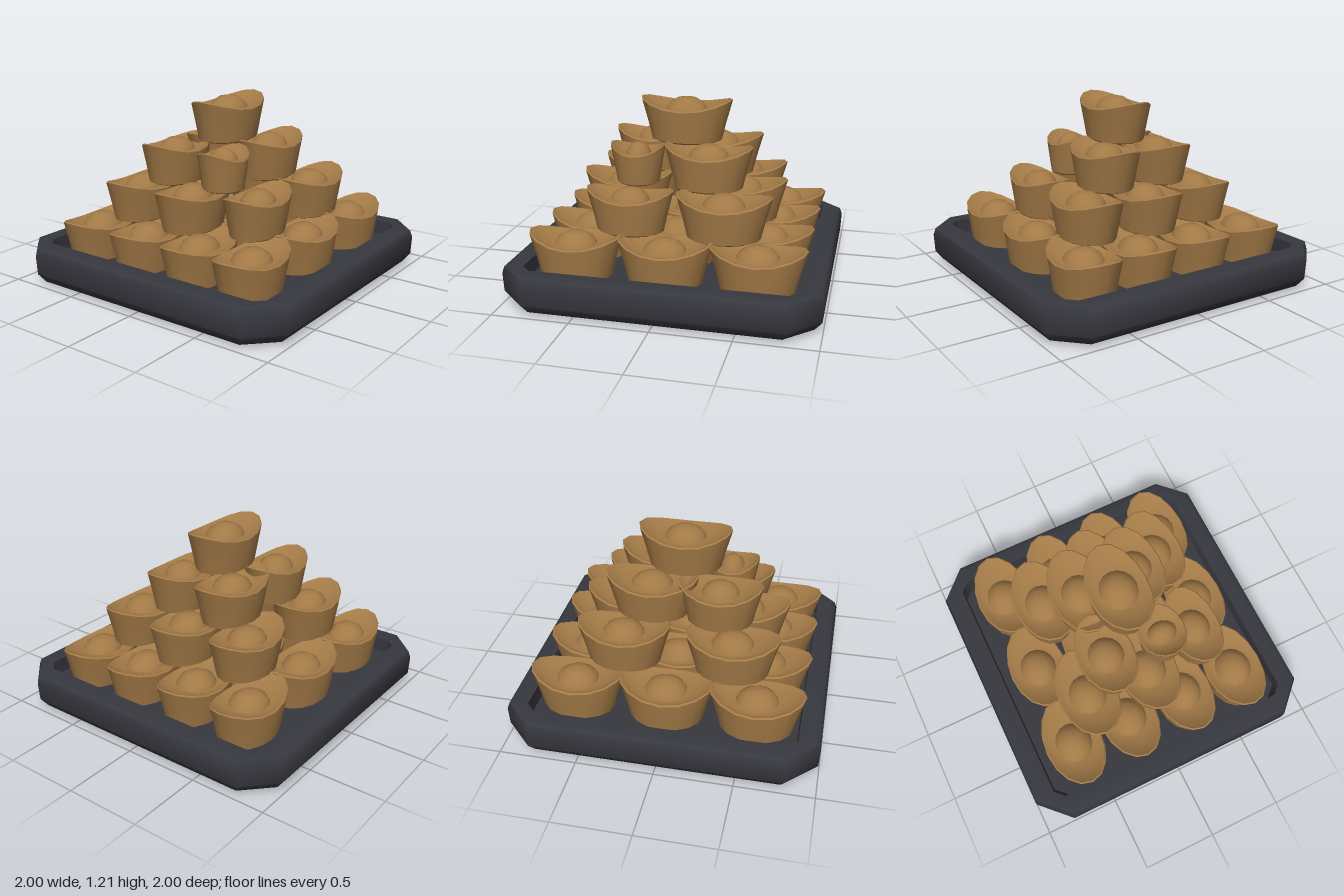
import * as THREE from 'three';
import { toCreasedNormals } from 'three/addons/utils/BufferGeometryUtils.js';

// Skins a list of closed cross-sections, running from the underside up and over to the top
function loft(rings, crease) {
  const n = rings[0].length;
  const pos = [];
  const tri = (a, b, c) => {
    if (a.distanceTo(b) < 1e-6 || b.distanceTo(c) < 1e-6 || c.distanceTo(a) < 1e-6) return;
    for (const p of [a, b, c]) pos.push(p.x, p.y, p.z);
  };
  for (let i = 0; i < rings.length - 1; i++) {
    for (let j = 0; j < n; j++) {
      const k = (j + 1) % n;
      const a = rings[i][j], b = rings[i][k], c = rings[i + 1][k], d = rings[i + 1][j];
      tri(a, d, b);
      tri(b, d, c);
    }
  }
  const g = new THREE.BufferGeometry();
  g.setAttribute('position', new THREE.Float32BufferAttribute(pos, 3));
  return toCreasedNormals(g, crease);
}

// Square outline with cut corners
function trayRing(half, cut, y) {
  const s = half - cut;
  return [[half, s], [s, half], [-s, half], [-half, s], [-half, -s], [-s, -half], [s, -half], [half, -s]]
    .map(([x, z]) => new THREE.Vector3(x, y, z));
}

// Boat-shaped outline whose two ends are raised by lift
function ingotRing(rx, rz, y, lift) {
  const n = 16;
  return Array.from({ length: n }, (_, i) => {
    const t = (i / n) * Math.PI * 2;
    const c = Math.cos(t);
    return new THREE.Vector3(rx * c, y + lift * c * c, rz * Math.sin(t));
  });
}

export function createModel() {
  const model = new THREE.Group();
  const gold = new THREE.MeshStandardMaterial({ color: 0xa37a47 });
  gold.name = 'gold';
  const charcoal = new THREE.MeshStandardMaterial({ color: 0x37373f });
  charcoal.name = 'charcoal';

  // Tray: rounded outer wall, broad rim and recessed floor
  const tray = new THREE.Mesh(loft([
    trayRing(0, 0, 0),
    trayRing(0.88, 0.16, 0),
    trayRing(0.95, 0.17, 0.02),
    trayRing(0.995, 0.19, 0.08),
    trayRing(1.0, 0.19, 0.2),
    trayRing(0.985, 0.18, 0.245),
    trayRing(0.95, 0.17, 0.258),
    trayRing(0.86, 0.06, 0.255),
    trayRing(0.85, 0.08, 0.16),
    trayRing(0, 0, 0.15),
  ], 0.9), charcoal);
  tray.name = 'tray';
  model.add(tray);

  // Ingot: flared hull, upswept rim, shallow bowl and central dome
  const ingotGeometry = loft([
    ingotRing(0, 0, 0, 0),
    ingotRing(0.2, 0.15, 0, 0),
    ingotRing(0.235, 0.168, 0.012, 0),
    ingotRing(0.262, 0.182, 0.11, 0.015),
    ingotRing(0.305, 0.195, 0.215, 0.065),
    ingotRing(0.296, 0.186, 0.225, 0.06),
    ingotRing(0.285, 0.175, 0.222, 0.054),
    ingotRing(0.2, 0.145, 0.208, 0.015),
    ingotRing(0.135, 0.122, 0.212, 0),
    ingotRing(0.115, 0.105, 0.247, 0),
    ingotRing(0.065, 0.06, 0.279, 0),
    ingotRing(0, 0, 0.289, 0),
  ], 0.75);

  // Stacked layers: base height, then [x, z, optional scale x, y, z] for each ingot
  const bottomLayer = [];
  for (const z of [-0.605, -0.2, 0.215, 0.605]) {
    for (const x of [-0.58, 0, 0.58]) bottomLayer.push([x, z]);
  }
  const layers = [
    ['bottomIngot', 0.155, bottomLayer],
    ['secondIngot', 0.413, [
      [-0.385, -0.4], [0.32, -0.4],
      [-0.4, 0.025], [0.375, 0.025],
      [-0.27, 0.435, 0.93, 1, 0.9], [0.335, 0.44],
    ]],
    ['thirdIngot', 0.663, [
      [-0.27, -0.21, 0.9, 1, 0.95], [0.18, -0.18],
      [-0.285, 0.18, 0.6, 0.93, 0.8], [0.19, 0.21, 0.95, 1, 0.98],
    ]],
    ['topIngot', 0.922, [[0, 0.01]]],
  ];
  for (const [name, y, spots] of layers) {
    for (const [x, z, sx = 1, sy = 1, sz = 1] of spots) {
      const ingot = new THREE.Mesh(ingotGeometry, gold);
      ingot.name = name;
      ingot.position.set(x, y, z);
      ingot.scale.set(sx, sy, sz);
      model.add(ingot);
    }
  }
  return model;
}
